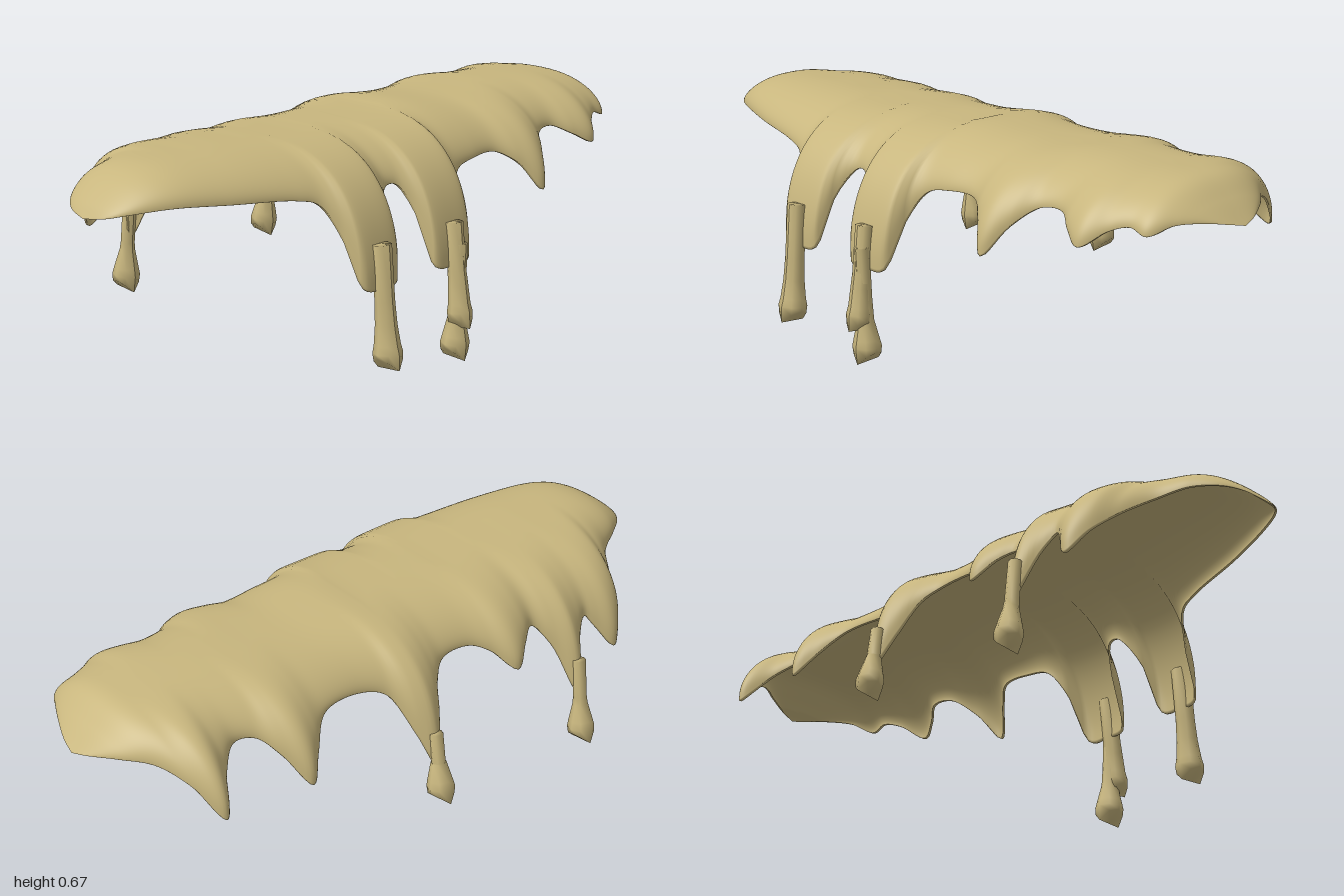
import * as THREE from 'three';

const slime = new THREE.MeshStandardMaterial({ color: 0xc8b67e });
slime.name = 'ochre slime';

// Rim outlines as [x, reach from the centre line, height]
const FRONT = [
  [-1, 0, .53], [-.985, .07, .54], [-.95, .115, .55], [-.85, .18, .56], [-.7, .235, .55], [-.5, .285, .53],
  [-.44, .305, .51], [-.4, .355, .42], [-.375, .415, .28], [-.31, .42, .275], [-.25, .415, .28],
  [-.225, .355, .43], [-.18, .305, .51], [-.14, .31, .51], [-.105, .355, .43], [-.085, .415, .28],
  [-.015, .42, .275], [.05, .415, .28], [.075, .35, .42], [.12, .31, .5], [.2, .3, .52], [.3, .3, .52],
  [.36, .345, .48], [.415, .39, .4], [.47, .34, .48], [.53, .28, .535], [.6, .27, .54], [.66, .31, .51],
  [.72, .335, .48], [.78, .285, .525], [.83, .255, .54], [.88, .25, .525], [.92, .19, .55],
  [.96, .115, .55], [.988, .05, .54], [1, 0, .53]];
const BACK = [
  [-1, 0, .53], [-.985, .06, .54], [-.95, .11, .55], [-.88, .16, .555], [-.8, .205, .535], [-.74, .29, .48],
  [-.7, .36, .42], [-.65, .4, .36], [-.6, .365, .43], [-.57, .345, .47], [-.53, .37, .42], [-.48, .425, .28],
  [-.43, .36, .43], [-.38, .315, .5], [-.33, .345, .48], [-.27, .38, .43], [-.21, .325, .49],
  [-.15, .295, .52], [-.05, .295, .52], [0, .33, .48], [.04, .385, .37], [.08, .425, .28], [.12, .385, .38],
  [.17, .31, .5], [.25, .285, .53], [.38, .295, .53], [.45, .35, .46], [.5, .39, .4], [.55, .33, .48],
  [.6, .27, .535], [.66, .255, .54], [.72, .3, .5], [.78, .375, .415], [.83, .3, .5], [.88, .21, .545],
  [.94, .13, .55], [.985, .05, .54], [1, 0, .53]];
const CREST = [
  [-1, 0, .53], [-.97, 0, .568], [-.9, 0, .622], [-.83, 0, .647], [-.65, 0, .657], [-.3, 0, .655], [0, 0, .658],
  [.13, 0, .665], [.3, 0, .656], [.55, 0, .662], [.8, 0, .652], [.88, 0, .638], [.94, 0, .592], [1, 0, .53]];

// Smooth curve through the points, looked up by x
function outline(points) {
  const samples = new THREE.CatmullRomCurve3(points.map(([x, z, y]) => new THREE.Vector3(x, y, z))).getPoints(900);
  return x => {
    let i = 1;
    while (i < samples.length - 1 && samples[i].x < x) i++;
    const a = samples[i - 1], b = samples[i];
    const t = THREE.MathUtils.clamp((x - a.x) / Math.max(b.x - a.x, 1e-6), 0, 1);
    return a.clone().lerp(b, t);
  };
}

// Fall of the common dome below its crest at a distance z from the centre line
const domeDrop = z => .37 * (1 - Math.max(1 - (Math.abs(z) / .43) ** 2.6, 0) ** (1 / 2.6));

// Thin curved shell: closed cross-sections (outer arch, then inner arch) lofted along x.
// Each arch follows the dome, then rolls down to the wavy rim, most tightly on the long drips.
function shellGeometry() {
  const front = outline(FRONT), back = outline(BACK), crest = outline(CREST);
  const COLUMNS = 300, ARC = 48, LOOP = ARC * 2;
  const positions = [], index = [];
  for (let i = 0; i <= COLUMNS; i++) {
    const x = Math.sin((i / COLUMNS - .5) * Math.PI);
    const top = crest(x).y, rims = [back(x), front(x)];
    for (let j = 0; j < LOOP; j++) {
      const inner = j >= ARC;
      const k = inner ? LOOP - 1 - j : j;
      const angle = Math.sin((k / (ARC - 1) - .5) * Math.PI) * Math.PI / 2;
      const rim = rims[angle > 0 ? 1 : 0];
      const power = 2 / (2.3 + 1.7 * THREE.MathUtils.smoothstep(rim.z, .28, .42));
      const thick = inner ? Math.min(.008, rim.z * .2, Math.max(top - rim.y, 0) * .5) : 0;
      const q = Math.abs(Math.sin(angle)) ** power;
      const arch = Math.max(Math.cos(angle), 0);
      const roll = top - domeDrop(rim.z) - rim.y;
      const y = top - domeDrop(rim.z * q) - roll * (1 - arch ** power) - thick * arch;
      positions.push(x, y, Math.sign(angle) * (rim.z - thick) * q);
      if (i < COLUMNS) {
        const a = i * LOOP + j, b = i * LOOP + (j + 1) % LOOP;
        index.push(a, b, a + LOOP, b, b + LOOP, a + LOOP);
      }
    }
  }
  const geometry = new THREE.BufferGeometry();
  geometry.setAttribute('position', new THREE.Float32BufferAttribute(positions, 3));
  geometry.setIndex(index);
  geometry.computeVertexNormals();
  return geometry;
}

// Hanging drop: thin stem swelling into a bulb with a wedge-shaped foot, origin at its top
function dropGeometry(length, stem, bulb) {
  const profile = [
    [0, -length], [bulb * .95, -length], [bulb, -length + .048], [bulb * .88, -length + .07],
    [stem * 1.1, -length + .125], [stem, -length * .45], [stem, 0], [0, 0]];
  const geometry = new THREE.LatheGeometry(profile.map(p => new THREE.Vector2(...p)), 8);
  const position = geometry.attributes.position;
  for (let i = 0; i < position.count; i++) {
    if (position.getY(i) < -length + .01) position.setY(i, -length + .9 * Math.abs(position.getX(i)));
  }
  geometry.computeVertexNormals();
  return geometry;
}

export function createModel() {
  const group = new THREE.Group();
  group.name = 'drippingSlime';

  const shell = new THREE.Mesh(shellGeometry(), slime);
  shell.name = 'slimeSheet';
  group.add(shell);

  // x, top height, z, length, stem radius, bulb radius, tilt
  const drops = [
    ['frontRightDrop', -.318, .4, .418, .35, .028, .042, -.08],
    ['frontMiddleDrop', -.02, .4, .418, .305, .026, .036, -.1],
    ['frontLongDrop', -.013, .34, .436, .341, .022, .042, .05],
    ['backRightDrop', -.482, .39, -.415, .268, .02, .04, .11],
    ['backLeftDrop', .082, .39, -.415, .215, .02, .04, .14]];
  for (const [name, x, y, z, length, stem, bulb, tilt] of drops) {
    const drop = new THREE.Mesh(dropGeometry(length, stem, bulb), slime);
    drop.name = name;
    drop.position.set(x, y, z);
    drop.rotation.x = tilt;
    group.add(drop);
  }
  return group;
}
